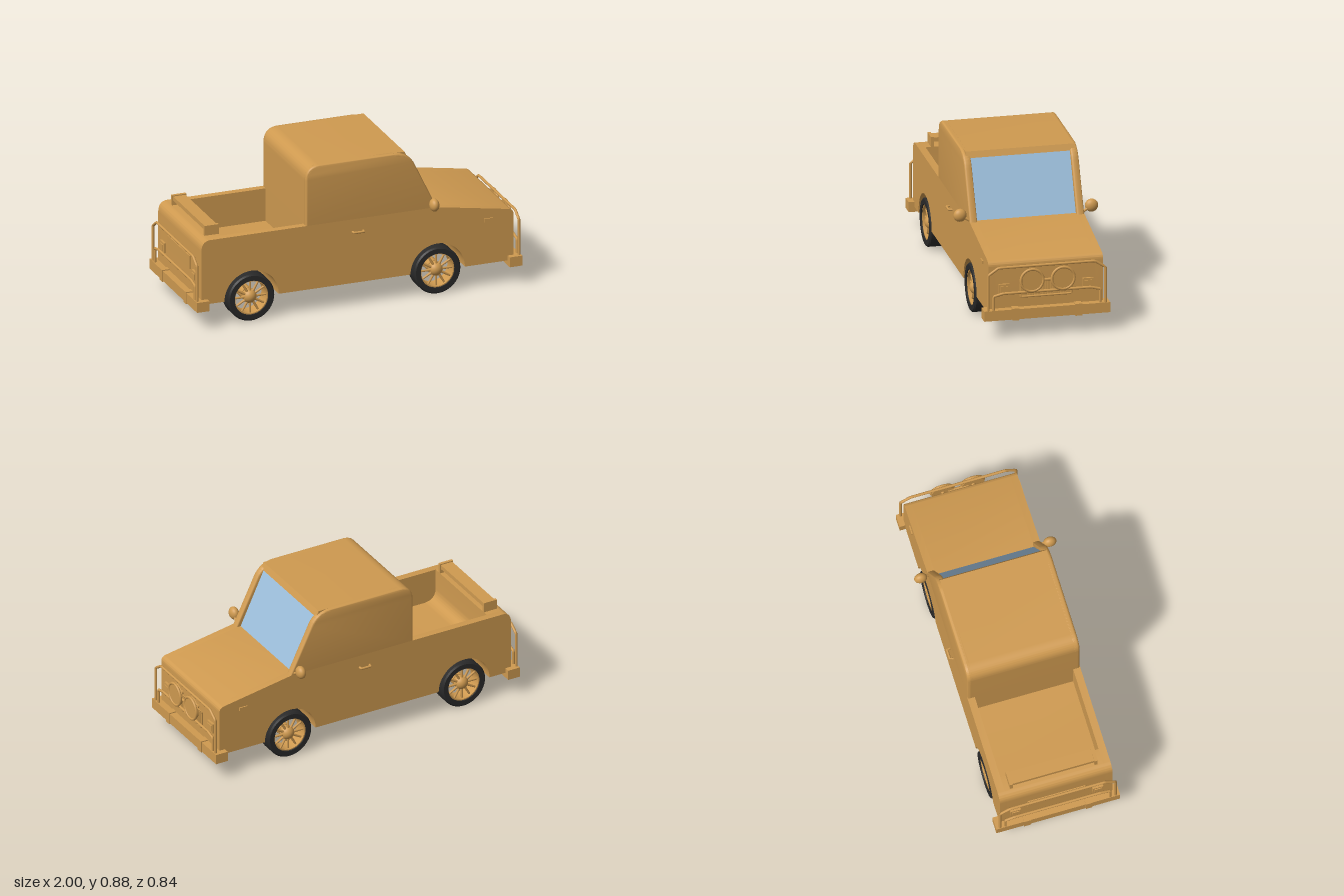
import * as THREE from 'three';
import { toCreasedNormals } from 'three/addons/utils/BufferGeometryUtils.js';

const paint = new THREE.MeshStandardMaterial({ color: 0xcf9a50 });
paint.name = 'ochre paint';
const glass = new THREE.MeshStandardMaterial({ color: 0x9dbfdc });
glass.name = 'blue glass';
const rubber = new THREE.MeshStandardMaterial({ color: 0x2a2a2a });
rubber.name = 'black rubber';

const V = (x, y, z) => new THREE.Vector3(x, y, z);

function add(parent, name, geo, mat, x = 0, y = 0, z = 0) {
  const m = new THREE.Mesh(geo, mat);
  m.name = name;
  m.position.set(x, y, z);
  parent.add(m);
  return m;
}
// Box given by its min and max along each axis
function box(parent, name, x0, x1, y0, y1, z0, z1, mat = paint) {
  return add(parent, name, new THREE.BoxGeometry(x1 - x0, y1 - y0, z1 - z0), mat,
    (x0 + x1) / 2, (y0 + y1) / 2, (z0 + z1) / 2);
}
// Side-profile shape extruded from z0 to z1
function slab(parent, name, shape, z0, z1, mat = paint, bevel = 0) {
  const g = new THREE.ExtrudeGeometry(shape, {
    depth: z1 - z0 - 2 * bevel, curveSegments: 20, bevelEnabled: bevel > 0,
    bevelSize: bevel, bevelThickness: bevel, bevelOffset: -bevel, bevelSegments: 4,
  });
  return add(parent, name, toCreasedNormals(g, 0.6), mat, 0, 0, z0 + bevel);
}
// Straight-segment tube through points
function rod(parent, name, pts, r) {
  const path = new THREE.CurvePath();
  for (let i = 1; i < pts.length; i++) path.add(new THREE.LineCurve3(pts[i - 1], pts[i]));
  return add(parent, name, new THREE.TubeGeometry(path, 80, r, 10), paint);
}
// Polygon [x, y, cornerRadius] with rounded corners
function rounded(points, target = new THREE.Shape()) {
  const n = points.length;
  points.forEach(([x, y, r], i) => {
    const p = new THREE.Vector2(x, y);
    const toward = (q) => new THREE.Vector2(q[0], q[1]).sub(p).setLength(r).add(p);
    const a = toward(points[(i + n - 1) % n]), b = toward(points[(i + 1) % n]);
    if (i === 0) target.moveTo(a.x, a.y); else target.lineTo(a.x, a.y);
    if (r > 0) target.quadraticCurveTo(x, y, b.x, b.y);
  });
  target.closePath();
  return target;
}

const AXLES = [-0.65, 0.48], WHEEL_Y = 0.14;

// Lower body outline with wheel arches, optionally with the cargo bed cut in
function bodyShape(withBed) {
  const s = new THREE.Shape();
  s.moveTo(-0.955, 0.14);
  for (const x of AXLES) {
    s.lineTo(x - 0.165, 0.14);
    s.absarc(x, 0.14, 0.165, Math.PI, 0, true);
  }
  s.lineTo(0.94, 0.14);
  s.lineTo(0.94, 0.42);
  s.quadraticCurveTo(0.94, 0.446, 0.91, 0.452);
  s.lineTo(0.47, 0.527);
  if (withBed) {
    s.lineTo(-0.32, 0.527);
    s.lineTo(-0.32, 0.33);
    s.lineTo(-0.74, 0.33);
    s.quadraticCurveTo(-0.82, 0.33, -0.82, 0.41);
    s.lineTo(-0.82, 0.527);
  }
  s.lineTo(-0.905, 0.527);
  s.quadraticCurveTo(-0.955, 0.523, -0.955, 0.46);
  s.closePath();
  return s;
}

function buildCab(g) {
  const outer = [[-0.32, 0.515, 0], [0.482, 0.515, 0], [0.305, 0.885, 0.09], [-0.32, 0.885, 0.09]];
  const inner = [[-0.283, 0.527, 0], [0.432, 0.527, 0], [0.283, 0.85, 0.06], [-0.283, 0.85, 0.05]];
  // Glass core: its sloping front is the windscreen
  slab(g, 'cabGlass', rounded([[-0.3, 0.515, 0], [0.455, 0.515, 0], [0.29, 0.87, 0], [-0.3, 0.87, 0.05]]),
    -0.31, 0.31, glass);
  // Roof and back wall in one bent panel
  const shell = new THREE.Shape();
  shell.moveTo(-0.32, 0.515);
  shell.lineTo(-0.32, 0.795);
  shell.quadraticCurveTo(-0.32, 0.885, -0.23, 0.885);
  shell.lineTo(0.285, 0.885);
  shell.lineTo(0.302, 0.85);
  shell.lineTo(-0.22, 0.85);
  shell.quadraticCurveTo(-0.283, 0.85, -0.283, 0.78);
  shell.lineTo(-0.283, 0.515);
  shell.closePath();
  slab(g, 'roofAndBackPanel', shell, -0.315, 0.315);
  for (const side of [1, -1]) {
    // Rounded door frame with its window opening, and the pillar between panes
    const frame = rounded(outer);
    frame.holes.push(rounded(inner, new THREE.Path()));
    const z = side > 0 ? 0.288 : -0.332;
    slab(g, 'windowFrame', frame, z, z + 0.044, paint, 0.012);
    box(g, 'doorPillar', -0.102, -0.07, 0.52, 0.86, side * 0.316 - 0.009, side * 0.316 + 0.009);
  }
}

function buildWheel(side) {
  const w = new THREE.Group();
  w.name = 'wheel';
  const ring = (name, pts, mat) => {
    const geo = new THREE.LatheGeometry(pts.map(([r, y]) => new THREE.Vector2(r, y)), 48);
    add(w, name, toCreasedNormals(geo, 0.6), mat).rotation.x = Math.PI / 2;
  };
  const h = 0.0525;
  ring('tire', [[0.103, -h], [0.132, -h], [0.14, -h + 0.008], [0.14, h - 0.008], [0.132, h],
    [0.103, h], [0.103, -h]], rubber);
  ring('rim', [[0.097, -h + 0.008], [0.104, -h + 0.008], [0.104, h - 0.008], [0.097, h - 0.008],
    [0.097, -h + 0.008]], paint);
  for (let i = 0; i < 12; i++) {
    const a = (i / 12) * Math.PI * 2;
    const spoke = add(w, 'spoke', new THREE.CylinderGeometry(0.006, 0.008, 0.08, 8), paint,
      Math.cos(a) * 0.062, Math.sin(a) * 0.062, side * 0.025);
    spoke.rotation.z = a - Math.PI / 2;
  }
  add(w, 'hubCap', new THREE.SphereGeometry(0.042, 24, 16), paint, 0, 0, side * 0.012);
  return w;
}

// Bumper with brackets and two bent guard bars; dir is +1 at the nose, -1 at the tail
function buildBumper(g, dir) {
  const bx = (name, a, b, ...rest) => box(g, name, Math.min(a * dir, b * dir), Math.max(a * dir, b * dir), ...rest);
  const out = dir > 0 ? 0.985 : 0.998;
  bx('bumper', out - 0.08, out - 0.004, 0.11, 0.17, -0.365, 0.365);
  for (const s of [1, -1]) {
    bx('bumperBracket', out - 0.085, out, 0.105, 0.176, s * 0.182 - 0.02, s * 0.182 + 0.02);
    bx('cornerLamp', 0.93, dir > 0 ? 0.953 : 0.968, 0.255, 0.315, s * 0.243 - 0.031, s * 0.243 + 0.031);
    bx('lampLens', 0.94, dir > 0 ? 0.958 : 0.973, 0.267, 0.303, s * 0.243 - 0.021, s * 0.243 + 0.021);
  }
  const x = dir * (out - 0.014);
  const guard = (name, half, low, high, cut, r) => rod(g, name, [
    V(x, 0.165, half), V(x, low, half), V(x, high, half - cut),
    V(x, high, -half + cut), V(x, low, -half), V(x, 0.165, -half)], r);
  guard('upperGuardBar', 0.34, 0.38, 0.421, 0.06, 0.008);
  guard('lowerGuardBar', 0.309, 0.252, 0.266, 0.055, 0.008);
}

function buildNose(g) {
  // Grille slats inside a tube frame
  for (let i = 0; i < 19; i++) {
    const z = -0.135 + i * 0.015;
    box(g, 'grilleSlat', 0.935, 0.95, 0.235, 0.325, z - 0.004, z + 0.004);
  }
  rod(g, 'grilleFrame', [V(0.95, 0.325, 0.147), V(0.95, 0.232, 0.147), V(0.95, 0.232, -0.147),
    V(0.95, 0.325, -0.147)], 0.006);
  // Round lamps joined by a rod
  for (const s of [1, -1]) {
    const lamp = add(g, 'roundLamp', new THREE.CylinderGeometry(0.062, 0.066, 0.018, 40), paint, 0.984, 0.34, s * 0.09);
    lamp.rotation.z = -Math.PI / 2;
    const rim = add(g, 'lampRim', new THREE.TorusGeometry(0.065, 0.008, 10, 40), paint, 0.99, 0.34, s * 0.09);
    rim.rotation.y = Math.PI / 2;
    rod(g, 'lampStem', [V(0.93, 0.34, s * 0.09), V(0.98, 0.34, s * 0.09)], 0.012);
  }
  rod(g, 'lampLink', [V(0.977, 0.335, 0.06), V(0.977, 0.335, -0.06)], 0.008);
}

export function createModel() {
  const truck = new THREE.Group();
  truck.name = 'pickupTruck';

  // Lower body: middle with cargo bed, plus full side panels
  slab(truck, 'bodyMiddle', bodyShape(true), -0.29, 0.29);
  slab(truck, 'leftBodySide', bodyShape(false), 0.29, 0.332);
  slab(truck, 'rightBodySide', bodyShape(false), -0.332, -0.29);

  buildCab(truck);
  buildBumper(truck, 1);
  buildBumper(truck, -1);
  buildNose(truck);
  box(truck, 'tailPanel', -0.963, -0.95, 0.3, 0.38, -0.17, 0.17);

  // Wheels on their axles
  for (const x of AXLES) {
    const axle = add(truck, 'axle', new THREE.CylinderGeometry(0.038, 0.038, 0.54, 28), paint, x, WHEEL_Y, 0);
    axle.rotation.x = Math.PI / 2;
    for (const s of [1, -1]) {
      const wheel = buildWheel(s);
      wheel.position.set(x, WHEEL_Y, s * 0.281);
      truck.add(wheel);
    }
  }

  // Tailgate rail on end plates
  box(truck, 'tailRail', -0.9, -0.825, 0.555, 0.58, -0.245, 0.245);
  for (const s of [1, -1]) {
    box(truck, 'tailRailEnd', -0.906, -0.82, 0.52, 0.586, s * 0.25 - 0.009, s * 0.25 + 0.009);

    // Mirrors, door handles and side markers
    const mirror = add(truck, 'mirror', new THREE.SphereGeometry(0.038, 28, 18), paint, 0.44, 0.563, s * 0.381);
    mirror.scale.x = 0.72;
    rod(truck, 'mirrorArm', [V(0.455, 0.525, s * 0.315), V(0.445, 0.558, s * 0.37)], 0.008);
    rod(truck, 'doorHandle', [V(-0.037, 0.45, s * 0.325), V(-0.032, 0.45, s * 0.35), V(0.025, 0.45, s * 0.35),
      V(0.03, 0.45, s * 0.325)], 0.007);
    box(truck, 'sideMarker', 0.76, 0.812, 0.395, 0.415, s * 0.333 - 0.006, s * 0.333 + 0.006);
  }
  return truck;
}
